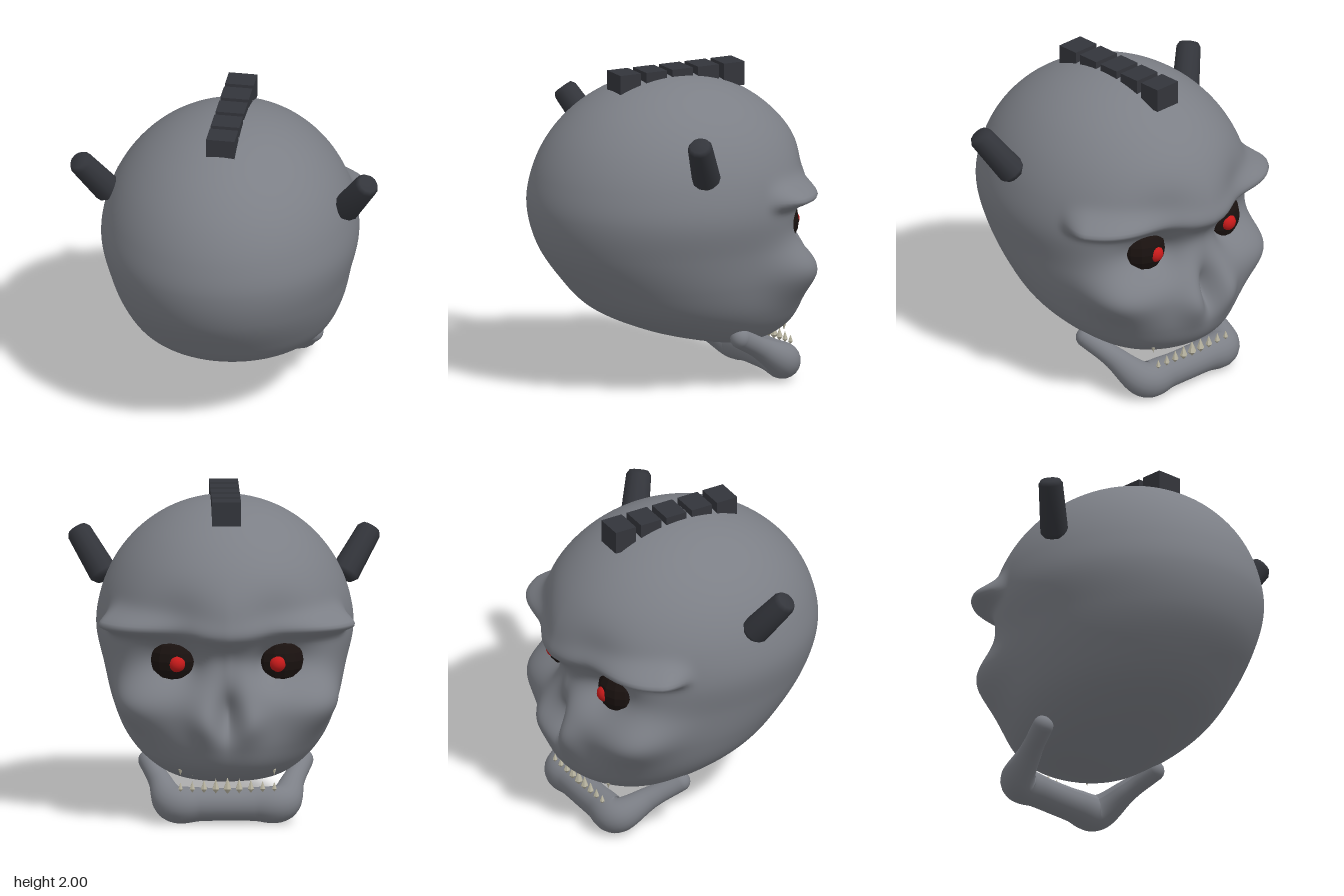
import * as THREE from 'three';
import { mergeVertices } from 'three/addons/utils/BufferGeometryUtils.js';

const mat = (color, flatShading = false) => new THREE.MeshStandardMaterial({ color, flatShading });
const bone = mat(0x7c7f86);
const dark = mat(0x33353b);
const socketBlack = mat(0x1a1210, true);
const red = mat(0xc81a1a);
const ivory = mat(0xb8b4a0, true);

const gauss = (d, s) => Math.exp(-(d * d) / (s * s));
const { smoothstep } = THREE.MathUtils;

// Dents and swellings of the face: angle from the face centre, height, spreads, depth
const BUMPS = [
  [0.46, 1.03, 0.29, 0.15, -0.2], // eye socket
  [0.42, 1.32, 0.28, 0.16, -0.045], // hollow over the eye
  [0.0, 1.07, 0.2, 0.11, -0.07], // nose bridge
  [0.0, 0.92, 0.16, 0.13, -0.04],
  [0.0, 0.72, 0.11, 0.13, -0.13], // nose hollow
  [0.18, 0.66, 0.17, 0.13, 0.055], // upper jaw beside the nose
  [0.85, 0.75, 0.3, 0.18, 0.13], // cheekbone
];

function faceOffset(phi, y) {
  let d = 0;
  for (const [p, h, sp, sh, amp] of BUMPS) d += amp * gauss(phi - p, sp) * gauss(y - h, sh);
  // Brow ridge: low between the eyes, sharp underneath, ending in a lobe at the temple
  const ridgeY = 1.2 + 0.035 * smoothstep(phi, 0, 0.4);
  const amp = (0.03 + 0.11 * smoothstep(phi, 0.3, 0.95)) * (1 - smoothstep(phi, 1.0, 1.25));
  return d + amp * gauss(y - ridgeY, y < ridgeY ? 0.05 : 0.08);
}

function add(parent, name, geometry, material, x = 0, y = 0, z = 0) {
  const mesh = new THREE.Mesh(geometry, material);
  mesh.name = name;
  mesh.position.set(x, y, z);
  parent.add(mesh);
  return mesh;
}

// Skull: a sphere refitted to level sections, then modelled by the face rule
function skullGeometry() {
  // Each section: reach to the face, reach to the back, half width
  const sections = [];
  for (let i = 0; i < 6; i++) {
    const s = Math.sin((i * Math.PI) / 12);
    sections.push(new THREE.Vector3(0.91 * s, 0.91 * s, 0.8 * s));
  }
  for (const row of [
    [0.9, 0.91, 0.8], [0.88, 0.85, 0.75], [0.88, 0.7, 0.695], [0.86, 0.51, 0.61],
    [0.78, 0.2, 0.47], [0.6, -0.13, 0.28], [0.3, -0.3, 0],
  ]) sections.push(new THREE.Vector3(...row));
  const profile = new THREE.CatmullRomCurve3(sections, false, 'catmullrom', 0.5);

  let g = new THREE.SphereGeometry(1, 200, 140);
  const p = g.attributes.position;
  for (let i = 0; i < p.count; i++) {
    const ux = p.getX(i), uy = p.getY(i), uz = p.getZ(i);
    const theta = Math.acos(THREE.MathUtils.clamp(uy, -1, 1));
    const ring = profile.getPoint(theta / Math.PI);
    const y = 1.15 + (uy > 0 ? 0.81 : 0.92) * uy;
    const len = Math.hypot(ux, uz) || 1;
    const sx = ux / len, cz = uz / len;
    const d = faceOffset(Math.atan2(Math.abs(sx), -cz), y) * smoothstep(Math.sin(theta), 0, 0.4);
    p.setXYZ(i,
      sx * (ring.z + d),
      y,
      (ring.y - ring.x) / 2 + cz * ((ring.x + ring.y) / 2 + d));
  }
  g.deleteAttribute('uv');
  g.deleteAttribute('normal');
  g = mergeVertices(g, 1e-5);
  g.computeVertexNormals();
  return g;
}

// Lower jaw: a bent bar, thick at the corners and thin at the hinge ends
function buildJaw() {
  const jaw = new THREE.Group();
  jaw.name = 'lowerJaw';
  const half = [[0.48, 0.335, -0.25], [0.415, 0.235, -0.43], [0.335, 0.125, -0.62], [0.17, 0.122, -0.635]];
  const points = [
    ...half.map(([x, y, z]) => new THREE.Vector3(-x, y, z)),
    ...half.reverse().map(([x, y, z]) => new THREE.Vector3(x, y, z)),
  ];
  const curve = new THREE.CatmullRomCurve3(points);
  const radius = (u) => {
    const e = Math.abs(2 * u - 1);
    return 0.102 + 0.014 * gauss(e - 0.38, 0.14) - 0.037 * smoothstep(e, 0.4, 0.85);
  };
  const steps = 96, sides = 20;
  const g = new THREE.TubeGeometry(curve, steps, 0.1, sides);
  const p = g.attributes.position, n = g.attributes.normal;
  for (let i = 0; i < p.count; i++) {
    const grow = radius(Math.floor(i / (sides + 1)) / steps) - 0.1;
    p.setXYZ(i, p.getX(i) + n.getX(i) * grow, p.getY(i) + n.getY(i) * grow, p.getZ(i) + n.getZ(i) * grow);
  }
  g.computeVertexNormals();
  add(jaw, 'jawBar', g, bone);
  for (const end of [points[0], points[points.length - 1]])
    add(jaw, 'jawHinge', new THREE.SphereGeometry(radius(0), 20, 14), bone, end.x, end.y, end.z);
  return jaw;
}

export function createModel() {
  const model = new THREE.Group();
  model.name = 'hornedSkull';

  add(model, 'skull', skullGeometry(), bone);
  model.add(buildJaw());

  // Crest of blocks along the crown
  for (let i = 0; i < 5; i++)
    add(model, 'crestBlock', new THREE.BoxGeometry(0.18, 0.15, 0.145), dark, 0, 1.925, -0.412 + i * 0.182);

  // Horn: short rod with softened rims
  const hornProfile = [[0, -0.19], [0.065, -0.19], [0.09, -0.155], [0.078, 0.15], [0.06, 0.178], [0, 0.18]]
    .map(([r, y]) => new THREE.Vector2(r, y));
  const hornGeometry = new THREE.LatheGeometry(hornProfile, 12);

  for (const side of [-1, 1]) {
    const horn = add(model, 'horn', hornGeometry, dark, side * 0.828, 1.573, 0.195);
    horn.quaternion.setFromUnitVectors(
      new THREE.Vector3(0, 1, 0), new THREE.Vector3(side * 0.165, 0.265, 0.135).normalize());

    const eye = add(model, 'eyeball', new THREE.SphereGeometry(0.16, 14, 10), socketBlack, side * 0.325, 1.03, -0.565);
    eye.scale.set(1, 1.05, 1);
    add(model, 'pupil', new THREE.SphereGeometry(0.055, 16, 12), red, side * 0.315, 1.02, -0.69);
  }

  // Teeth: pointed at both ends, largest in the middle of the row
  const toothGeometry = new THREE.LatheGeometry(
    [[0, -0.5], [0.26, -0.2], [0, 0.5]].map(([r, y]) => new THREE.Vector2(r, y)), 6);
  for (let i = -4; i <= 4; i++) {
    const size = 0.105 - 0.011 * Math.abs(i);
    const lower = add(model, 'lowerTooth', toothGeometry, ivory, i * 0.073, 0.25 - 0.002 * Math.abs(i), -0.7);
    lower.scale.setScalar(size);
    const upper = add(model, 'upperTooth', toothGeometry, ivory, i * 0.073, 0.335, -0.655);
    upper.scale.setScalar(size * 0.9);
    upper.rotation.z = Math.PI;
  }

  return model;
}
